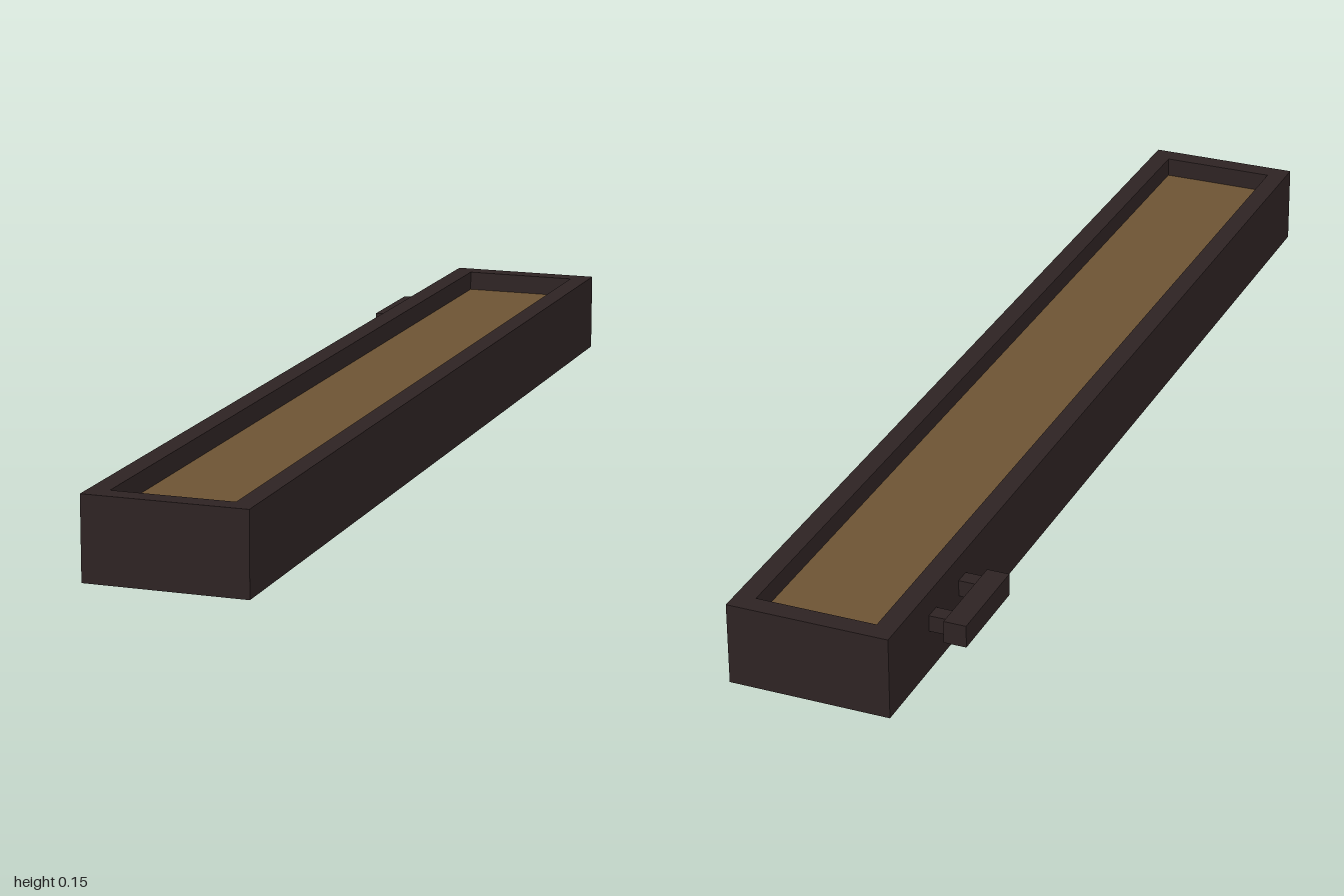
import * as THREE from 'three';

export function createModel() {
  const group = new THREE.Group();
  const darkFrame = new THREE.MeshStandardMaterial({ color: 0x2e2323 });
  darkFrame.name = 'darkFrame';
  const brownPanel = new THREE.MeshStandardMaterial({ color: 0x6e5434 });
  brownPanel.name = 'brownPanel';

  // Box given by its minimum and maximum corners
  function addBox(name, material, min, max, parent = group) {
    const size = max.map((v, i) => v - min[i]);
    const mesh = new THREE.Mesh(new THREE.BoxGeometry(...size), material);
    mesh.position.set(...max.map((v, i) => (v + min[i]) / 2));
    mesh.name = name;
    parent.add(mesh);
  }

  const x0 = -0.11, x1 = 0.183, height = 0.15, wall = 0.037, floor = 0.113;

  // Solid base below the recess
  addBox('base', darkFrame, [x0, 0, -1], [x1, floor - 0.005, 1]);

  // Raised rim: rectangle with a hole, extruded upwards
  const rect = (Type, inset) => {
    const a = x0 + inset, b = x1 - inset, c = 1 - inset;
    return new Type([[a, -c], [b, -c], [b, c], [a, c]].map(p => new THREE.Vector2(...p)));
  };
  const outline = rect(THREE.Shape, 0);
  outline.holes.push(rect(THREE.Path, wall));
  const rimHeight = height - floor + 0.005;
  const rimGeometry = new THREE.ExtrudeGeometry(outline, { depth: rimHeight, bevelEnabled: false });
  rimGeometry.rotateX(-Math.PI / 2);
  const rim = new THREE.Mesh(rimGeometry, darkFrame);
  rim.position.y = height - rimHeight;
  rim.name = 'rim';
  group.add(rim);

  // Inlaid panel on the recess floor
  addBox('panel', brownPanel,
    [x0 + wall, floor - 0.005, -1 + wall], [x1 - wall, floor, 1 - wall]);

  // Side handle: grip bar on two posts
  const handle = new THREE.Group();
  handle.name = 'handle';
  group.add(handle);
  addBox('handleGrip', darkFrame, [-0.184, 0.07, -0.855], [-0.143, 0.111, -0.672], handle);
  for (const z of [-0.825, -0.702]) {
    addBox('handlePost', darkFrame, [-0.143, 0.076, z - 0.015], [x0, 0.106, z + 0.015], handle);
  }

  return group;
}
